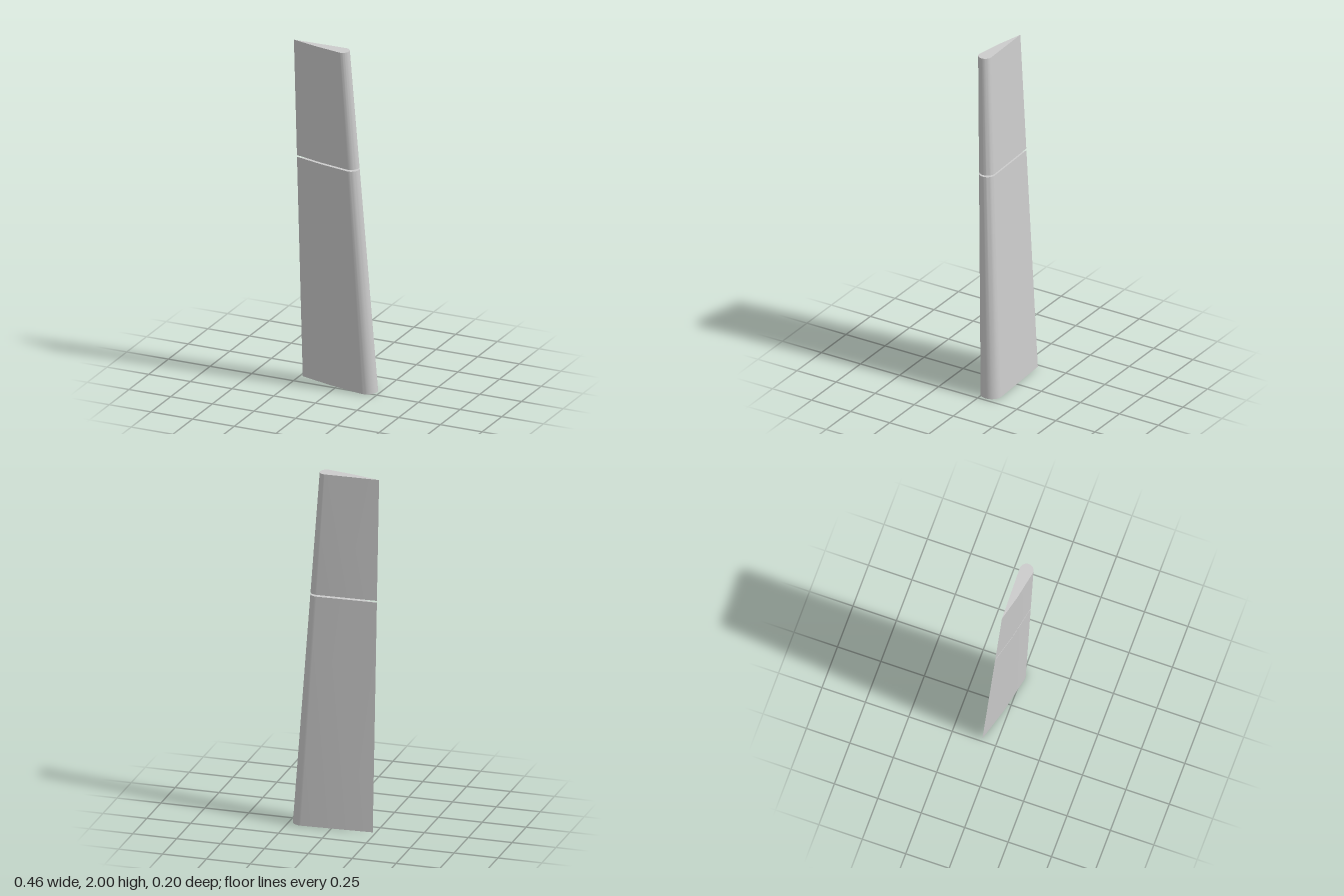
import * as THREE from 'three';
import { toCreasedNormals } from 'three/addons/utils/BufferGeometryUtils.js';

const HEIGHT = 2, ARC_STEPS = 20;

// Aerofoil outline at height y: sharp trailing edge, flat back, round nose, slightly bowed front
function section(y) {
  const mix = (a, b) => THREE.MathUtils.lerp(a, b, y / HEIGHT);
  const tipZ = mix(-0.082, 0.03);
  const noseX = mix(0.171, 0.075), noseZ = mix(-0.041, 0.0615), r = mix(0.061, 0.0385);
  const ring = [[-0.233, y, tipZ]];
  for (let i = 0; i <= ARC_STEPS; i++) {
    const a = -Math.PI / 2 + Math.PI * i / ARC_STEPS;
    ring.push([noseX + r * Math.cos(a), y, noseZ + r * Math.sin(a)]);
  }
  ring.push([mix(-0.046, -0.088), y, mix(-0.027, 0.068)]);
  return ring;
}

// Solid panel lofted between two heights, closed at both ends
function panelGeometry(y0, y1) {
  const low = section(y0), high = section(y1), n = low.length;
  const points = [...low, ...high].flat();
  const index = [];
  for (let i = 0; i < n; i++) {
    const j = (i + 1) % n;
    index.push(i, n + i, n + j, i, n + j, j);
    if (i > 0 && j > 0) index.push(0, i, j, n, n + j, n + i);
  }
  const geometry = new THREE.BufferGeometry();
  geometry.setAttribute('position', new THREE.Float32BufferAttribute(points, 3));
  geometry.setIndex(index);
  return toCreasedNormals(geometry, 0.4);
}

export function createModel() {
  const group = new THREE.Group();
  group.name = 'taperedFin';
  const grey = new THREE.MeshStandardMaterial({ color: 0xcccccc });
  grey.name = 'lightGrey';

  // Two panels separated by a narrow gap
  for (const [name, y0, y1] of [['lowerPanel', 0, 1.304], ['upperPanel', 1.314, HEIGHT]]) {
    const mesh = new THREE.Mesh(panelGeometry(y0, y1), grey);
    mesh.name = name;
    group.add(mesh);
  }
  return group;
}
